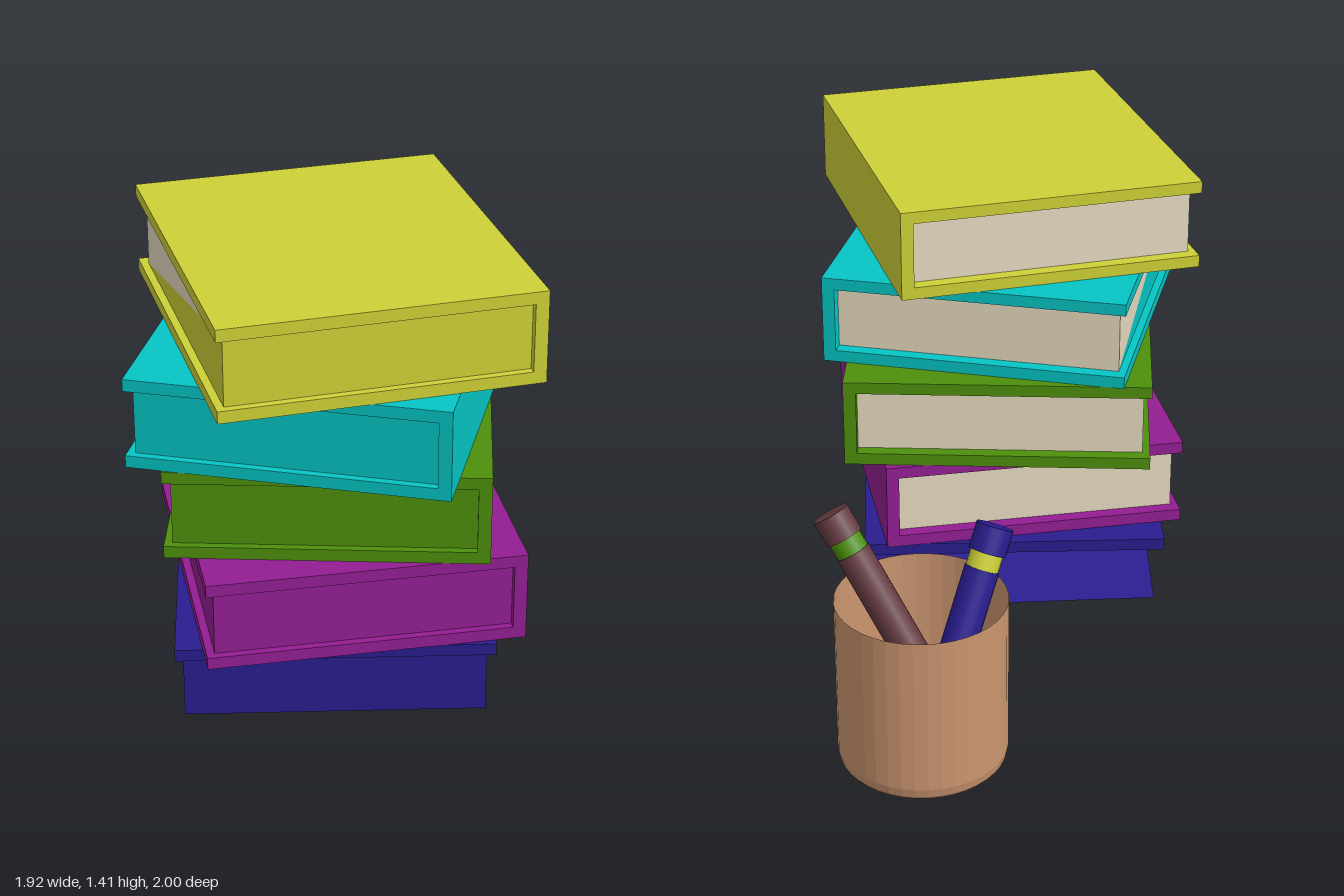
import * as THREE from 'three';

const mat = (name, color, side = THREE.FrontSide) => {
  const m = new THREE.MeshStandardMaterial({ color, side });
  m.name = name;
  return m;
};

export function createModel() {
  const model = new THREE.Group();
  model.name = 'booksAndPenCup';

  const yellow = mat('yellow', 0xcdd036);
  const teal = mat('teal', 0x06c4c4);
  const green = mat('green', 0x4d900b);
  const purple = mat('purple', 0x931e92);
  const blue = mat('blue', 0x291d8f, THREE.DoubleSide);
  const paper = mat('paper', 0xe6dac0);
  const clay = mat('clay', 0xcb956f, THREE.DoubleSide);
  const brown = mat('brown', 0x653b41);

  const W = 0.96, L = 1.09, T = 0.038; // book width, length, cover thickness
  const SPINE = 0.04, FORE = 0.024, FRONT = 0.024, BACK = 0.042; // spine thickness, page recesses

  const add = (parent, name, geo, material, x = 0, y = 0, z = 0) => {
    const m = new THREE.Mesh(geo, material);
    m.name = name;
    m.position.set(x, y, z);
    parent.add(m);
    return m;
  };

  const bookGroup = (name, x, z, y, turn) => {
    const g = new THREE.Group();
    g.name = name;
    g.position.set(x, y, z);
    g.rotation.y = turn;
    model.add(g);
    return g;
  };

  // Closed book: two covers, a spine on local +x and a recessed page block
  const book = (name, color, x, z, y0, y1, turn) => {
    const g = bookGroup(name, x, z, y0, turn);
    const h = y1 - y0;
    const cover = new THREE.BoxGeometry(W, T, L);
    add(g, 'bottomCover', cover, color, 0, T / 2, 0);
    add(g, 'topCover', cover, color, 0, h - T / 2, 0);
    add(g, 'spine', new THREE.BoxGeometry(SPINE, h - 2 * T, L), color, (W - SPINE) / 2, h / 2, 0);
    const pages = new THREE.BoxGeometry(W - SPINE - FORE, h - 2 * T, L - FRONT - BACK);
    // Paper on the back end and on half of the fore edge
    pages.clearGroups();
    pages.addGroup(0, 6, 0);
    pages.addGroup(6, 3, 1);
    pages.addGroup(9, 21, 0);
    pages.addGroup(30, 6, 1);
    add(g, 'pages', pages, [color, paper], (FORE - SPINE) / 2, h / 2, (BACK - FRONT) / 2);
  };

  book('purpleBook', purple, -0.225, 0.285, 0.27, 0.553, -0.37);
  book('greenBook', green, -0.19, 0.23, 0.553, 0.838, -0.597);
  book('tealBook', teal, -0.24, 0.275, 0.838, 1.122, -0.775);
  book('yellowBook', yellow, -0.255, 0.327, 1.122, 1.408, -0.285);

  // Bottom book: a cover over thin panels, closed inside by a diagonal wall and a sloping panel
  const open = bookGroup('blueBook', -0.215, 0.24, 0, -0.52);
  const low = 0.025, top = 0.268, high = top - T;
  const xl = FORE - W / 2, xr = W / 2 - 0.026, zf = L / 2 - FRONT, zb = BACK - L / 2;
  const panel = (name, material, ...points) => {
    const geo = new THREE.BufferGeometry();
    geo.setAttribute('position', new THREE.Float32BufferAttribute(points.flat(), 3));
    geo.computeVertexNormals();
    add(open, name, geo, material);
  };
  const leftTop = [xl, high, zf], leftLow = [xl, low, zf], backLow = [xl, low, zb];
  const nearTop = [xr, high, zf], nearLow = [xr, low, zf];
  const rightLow = [xr, low, 0.015 - L / 2], rightTop = [W / 2, high, -L / 2];
  add(open, 'topCover', new THREE.BoxGeometry(W, T, L), blue, 0, top - T / 2, 0);
  panel('frontPanel', blue, leftTop, leftLow, nearLow, leftTop, nearLow, nearTop);
  panel('foreEdge', blue, backLow, leftLow, leftTop);
  panel('slopingPanel', blue, leftTop, rightLow, backLow);
  panel('diagonalWall', blue, leftTop, rightLow, rightTop);
  const drop = ([x, y, z]) => [x, y - 0.004, z];
  panel('paperUnderside', paper, drop(leftTop), drop(rightTop), drop(nearTop));

  // Pen cup: a single open wall, bevelled in at the foot, with flat facets
  const wall = [[0.237, 0], [0.247, 0.012], [0.253, 0.04], [0.253, 0.532]]
    .map(([r, y]) => new THREE.Vector2(r, y));
  const cup = new THREE.LatheGeometry(wall, 40).toNonIndexed();
  cup.computeVertexNormals();
  add(model, 'penCup', cup, clay, 0.705, 0, -0.747);

  // Pen along a line from tip to end, with a band and a cap
  const pen = (name, bodyMat, bandMat, from, to) => {
    const p = new THREE.Vector3(...from), q = new THREE.Vector3(...to);
    const dir = q.clone().sub(p), len = dir.length();
    const g = new THREE.Group();
    g.name = name;
    g.position.copy(p);
    g.quaternion.setFromUnitVectors(new THREE.Vector3(0, 1, 0), dir.normalize());
    model.add(g);
    const part = (n, r, y0, y1, m) =>
      add(g, n, new THREE.CylinderGeometry(r, r, y1 - y0, 20), m, 0, (y0 + y1) / 2, 0);
    part('body', 0.052, 0, len - 0.13, bodyMat);
    part('band', 0.049, len - 0.13, len - 0.08, bandMat);
    part('cap', 0.056, len - 0.08, len, bodyMat);
  };
  pen('bluePen', blue, yellow, [0.78, 0.03, -0.855], [0.448, 0.688, -0.738]);
  pen('brownPen', brown, green, [0.64, 0.1, -0.84], [0.855, 0.732, -0.49]);

  return model;
}
